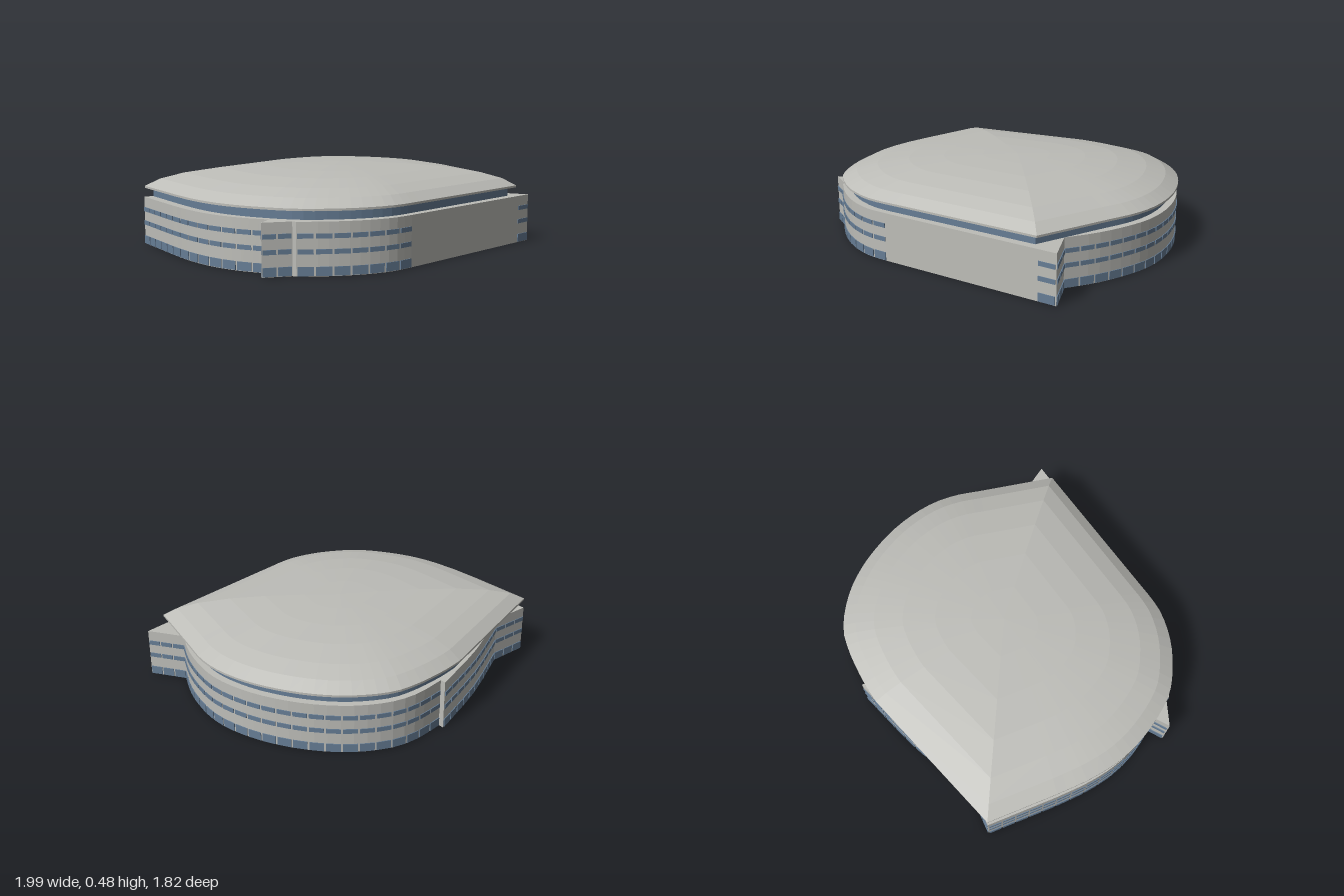
import * as THREE from 'three';
import { mergeGeometries } from 'three/addons/utils/BufferGeometryUtils.js';

const gray = new THREE.MeshStandardMaterial({ color: 0xbdbdb8, side: THREE.DoubleSide });
gray.name = 'paleGray';
const blue = new THREE.MeshStandardMaterial({ color: 0x667d95 });
blue.name = 'glassBlue';

const WALL_TOP = 0.28, EAVE_LOW = 0.333, EAVE_TOP = 0.345;
const ROWS = [[0.003, 0.05], [0.115, 0.14], [0.195, 0.22]];

// Smooth run through [x, z] points; two points stay a straight line
function run(points, segments = 1) {
  const v = points.map(([x, z]) => new THREE.Vector3(x, 0, z));
  if (v.length === 2) return v;
  return new THREE.CatmullRomCurve3(v, false, 'centripetal').getSpacedPoints(segments);
}

// Faceted strip of faces between a lower and an upper row of points
function strip(lower, upper) {
  const pos = [];
  for (let i = 0; i < lower.length - 1; i++) {
    const a = lower[i], b = lower[i + 1], A = upper[i], B = upper[i + 1];
    for (const p of [a, A, b, b, A, B]) pos.push(p.x, p.y, p.z);
  }
  const g = new THREE.BufferGeometry();
  g.setAttribute('position', new THREE.Float32BufferAttribute(pos, 3));
  g.computeVertexNormals();
  return g;
}

function toShape(points, scale = 1) {
  return new THREE.Shape(points.map((p) => new THREE.Vector2(p.x * scale, -p.z * scale)));
}

// Horizontal slab with the given outline
function slab(points, scale, y0, y1) {
  const g = new THREE.ExtrudeGeometry(toShape(points, scale), { depth: y1 - y0, bevelEnabled: false });
  return g.rotateX(-Math.PI / 2).translate(0, y0, 0);
}

// Rows of thin panes set along a run, just outside the wall
function panes(points, pitch = 0.09) {
  const line = new THREE.CurvePath();
  for (let i = 0; i < points.length - 1; i++) line.add(new THREE.LineCurve3(points[i], points[i + 1]));
  const count = Math.max(1, Math.round(line.getLength() / pitch));
  const parts = [];
  for (let i = 0; i < count; i++) {
    const a = line.getPoint((i + 0.06) / count), b = line.getPoint((i + 0.94) / count);
    const d = b.clone().sub(a), length = d.length();
    const mid = a.add(b).multiplyScalar(0.5);
    const nx = d.z / length, nz = -d.x / length;
    for (const [y0, y1] of ROWS) {
      const g = new THREE.BoxGeometry(length, y1 - y0, 0.005);
      g.rotateY(Math.atan2(-d.z, d.x));
      g.translate(mid.x + nx * 0.003, (y0 + y1) / 2, mid.z + nz * 0.003);
      parts.push(g);
    }
  }
  return mergeGeometries(parts);
}

export function createModel() {
  const group = new THREE.Group();
  const add = (name, geometry, material) => {
    const mesh = new THREE.Mesh(geometry, material);
    mesh.name = name;
    group.add(mesh);
  };

  // Wall runs in order round the building
  const walls = [
    { name: 'frontEnd', pts: run([[0.99, 0.64], [0.88, 0.665]]), glazed: true },
    { name: 'frontBlank', pts: run([[0.88, 0.665], [-0.08, 0.882]]), glazed: false },
    { name: 'frontCurve', glazed: true,
      pts: run([[-0.08, 0.882], [-0.21, 0.904], [-0.33, 0.895], [-0.45, 0.865], [-0.58, 0.81], [-0.7, 0.74]], 12) },
    { name: 'frontStep', pts: run([[-0.7, 0.74], [-0.71, 0.72]]), glazed: false },
    { name: 'fin', pts: run([[-0.71, 0.72], [-0.86, 0.67]]), glazed: true },
    { name: 'finReturn', pts: run([[-0.86, 0.67], [-0.78, 0.605]]), glazed: true },
    { name: 'rightCurve', glazed: true,
      pts: run([[-0.78, 0.605], [-0.88, 0.46], [-0.95, 0.29], [-0.985, 0.1], [-0.995, -0.1]], 14) },
    { name: 'rightStraight', pts: run([[-0.995, -0.1], [-0.995, -0.52]]), glazed: true },
    { name: 'backCorner', pts: run([[-0.995, -0.52], [-0.74, -0.53]]), glazed: true },
    { name: 'backWall', pts: run([[-0.74, -0.53], [-0.35, -0.74], [0.05, -0.905]], 6), glazed: true },
    { name: 'backStep', pts: run([[0.05, -0.905], [0.05, -0.872]]), glazed: false },
    { name: 'leftCurve', glazed: true,
      pts: run([[0.05, -0.872], [0.25, -0.9], [0.4, -0.88], [0.58, -0.79], [0.75, -0.63], [0.88, -0.43],
        [0.95, -0.25], [0.98, -0.08], [0.97, 0.08], [0.93, 0.27], [0.86, 0.45]], 28) },
    { name: 'leftCorner', pts: run([[0.86, 0.45], [0.99, 0.64]]), glazed: true },
  ];
  const footprint = [];
  for (const { name, pts, glazed } of walls) {
    const top = pts.map((p) => new THREE.Vector3(p.x, WALL_TOP, p.z));
    add(name + 'Wall', strip(pts, top), gray);
    if (glazed) add(name + 'Windows', panes(pts), blue);
    footprint.push(...pts.slice(0, -1));
  }

  // Deck closing the walls; the underside stays open
  const deck = new THREE.ShapeGeometry(toShape(footprint));
  add('deck', deck.rotateX(-Math.PI / 2).translate(0, WALL_TOP, 0), gray);

  // Roof outline: two sharp corners joined by two sweeping curves
  const outline = [
    new THREE.Vector3(0.87, 0, 0.66),
    ...run([[-0.02, 0.87], [-0.13, 0.895], [-0.23, 0.905], [-0.4, 0.882], [-0.56, 0.82], [-0.7, 0.73],
      [-0.85, 0.53], [-0.94, 0.33], [-0.98, 0.12], [-0.99, -0.1]], 26),
    new THREE.Vector3(-0.99, 0, -0.52),
    ...run([[-0.1, -0.86], [0.02, -0.885], [0.25, -0.905], [0.4, -0.89], [0.6, -0.785], [0.75, -0.64],
      [0.88, -0.44], [0.95, -0.27], [0.985, -0.1], [0.983, 0.05], [0.955, 0.2]], 28),
  ];
  add('glassBand', slab(outline, 0.955, WALL_TOP + 0.002, EAVE_LOW), blue);
  add('eave', slab(outline, 1, EAVE_LOW, EAVE_TOP), gray);

  // Shallow dome of shrinking rings
  const rings = [[1, EAVE_TOP], [0.92, 0.388], [0.8, 0.422], [0.62, 0.451], [0.42, 0.468], [0.2, 0.477], [0.001, 0.48]];
  const loops = rings.map(([s, y]) => {
    const loop = outline.map((p) => new THREE.Vector3(p.x * s + 0.05 * (1 - s), y, p.z * s));
    return [...loop, loop[0]];
  });
  add('domeRoof', mergeGeometries(loops.slice(1).map((loop, i) => strip(loops[i], loop))), gray);

  return group;
}
